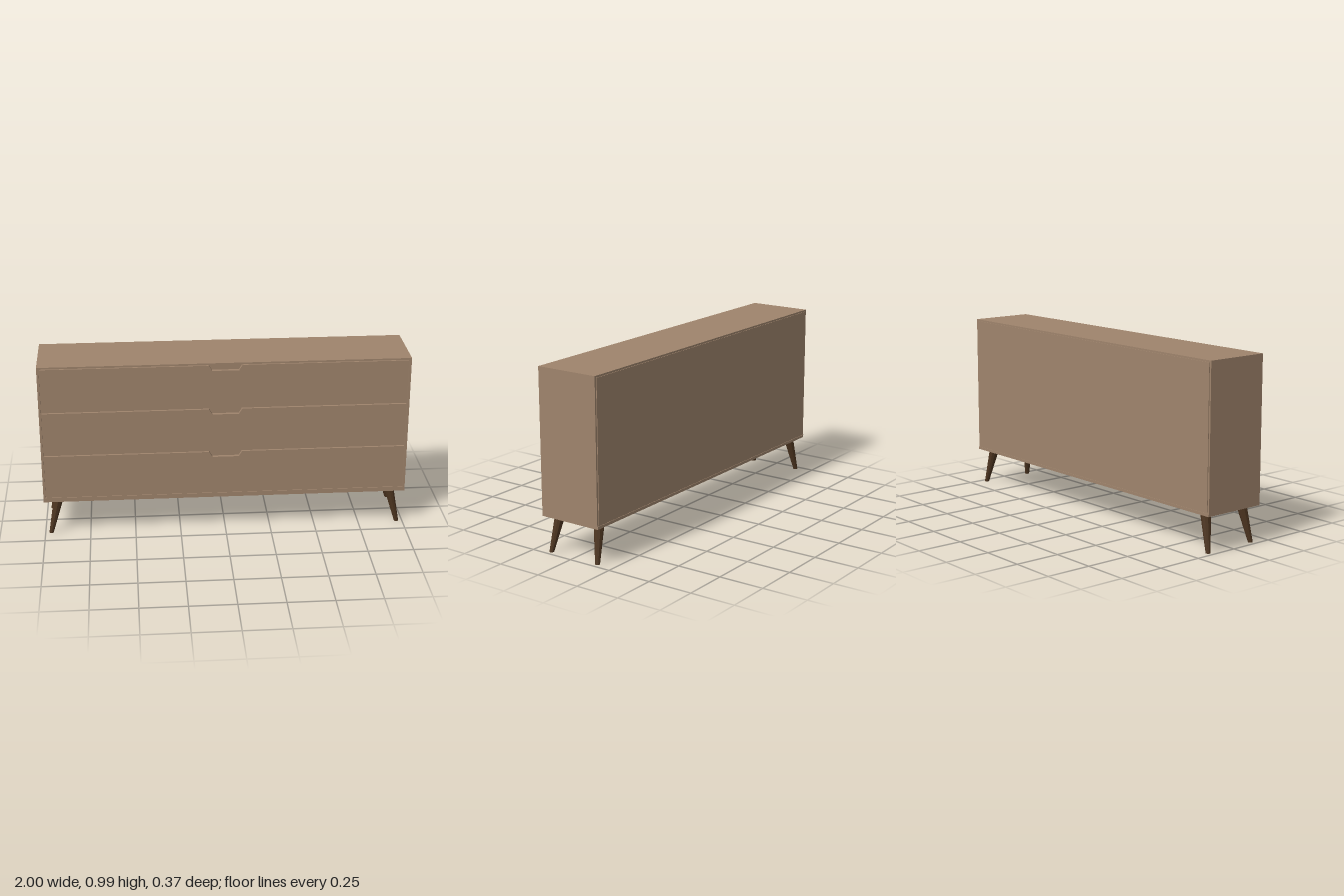
import * as THREE from 'three';

export function createModel() {
  const group = new THREE.Group();
  group.name = 'dresser';
  const wood = new THREE.MeshStandardMaterial({ name: 'light wood', color: 0x9f846c });
  const dark = new THREE.MeshStandardMaterial({ name: 'dark wood', color: 0x4d3520 });

  function add(name, geometry, material) {
    const mesh = new THREE.Mesh(geometry, material);
    mesh.name = name;
    group.add(mesh);
    return mesh;
  }
  // Box given by its lower and upper limits on each axis
  function board(name, [x0, x1], [y0, y1], [z0, z1]) {
    add(name, new THREE.BoxGeometry(x1 - x0, y1 - y0, z1 - z0), wood)
      .position.set((x0 + x1) / 2, (y0 + y1) / 2, (z0 + z1) / 2);
  }

  // Cabinet: core, surrounding boards, back panel and base
  const depth = [-0.18, 0.18];
  board('cabinetCore', [-0.988, 0.988], [0.225, 0.98], [-0.178, 0.165]);
  board('topBoard', [-1, 1], [0.98, 0.99], depth);
  board('bottomBoard', [-0.988, 0.988], [0.215, 0.225], depth);
  board('rightSide', [-1, -0.988], [0.215, 0.98], depth);
  board('leftSide', [0.988, 1], [0.215, 0.98], depth);
  board('backPanel', [-0.99, 0.99], [0.222, 0.98], [-0.184, -0.178]);
  board('baseBoard', [-1, 1], [0.2, 0.215], [-0.183, 0.18]);

  // Drawer fronts with a trapezoid finger notch in the top edge
  const w = 0.984, h = 0.246;
  const front = new THREE.Shape([
    [-w, 0], [w, 0], [w, h], [0.09, h], [0.072, h - 0.03],
    [-0.072, h - 0.03], [-0.09, h], [-w, h],
  ].map(([x, y]) => new THREE.Vector2(x, y)));
  const frontGeometry = new THREE.ExtrudeGeometry(front, { depth: 0.019, bevelEnabled: false });
  for (let i = 0; i < 3; i++) {
    add('drawerFront', frontGeometry, wood).position.set(0, 0.229 + i * 0.2515, 0.165);
  }

  // Tapered legs, splayed outwards by shearing
  for (const sx of [-1, 1]) {
    for (const sz of [-1, 1]) {
      const geometry = new THREE.CylinderGeometry(0.028, 0.0125, 0.2, 10).toNonIndexed();
      const p = geometry.attributes.position;
      for (let i = 0; i < p.count; i++) {
        const drop = 0.5 - p.getY(i) / 0.2;
        p.setX(i, p.getX(i) + sx * (0.92 + 0.048 * drop));
        p.setZ(i, p.getZ(i) + sz * (0.127 + 0.0245 * drop));
      }
      geometry.computeVertexNormals();
      add('leg', geometry, dark).position.y = 0.1;
    }
  }
  return group;
}
